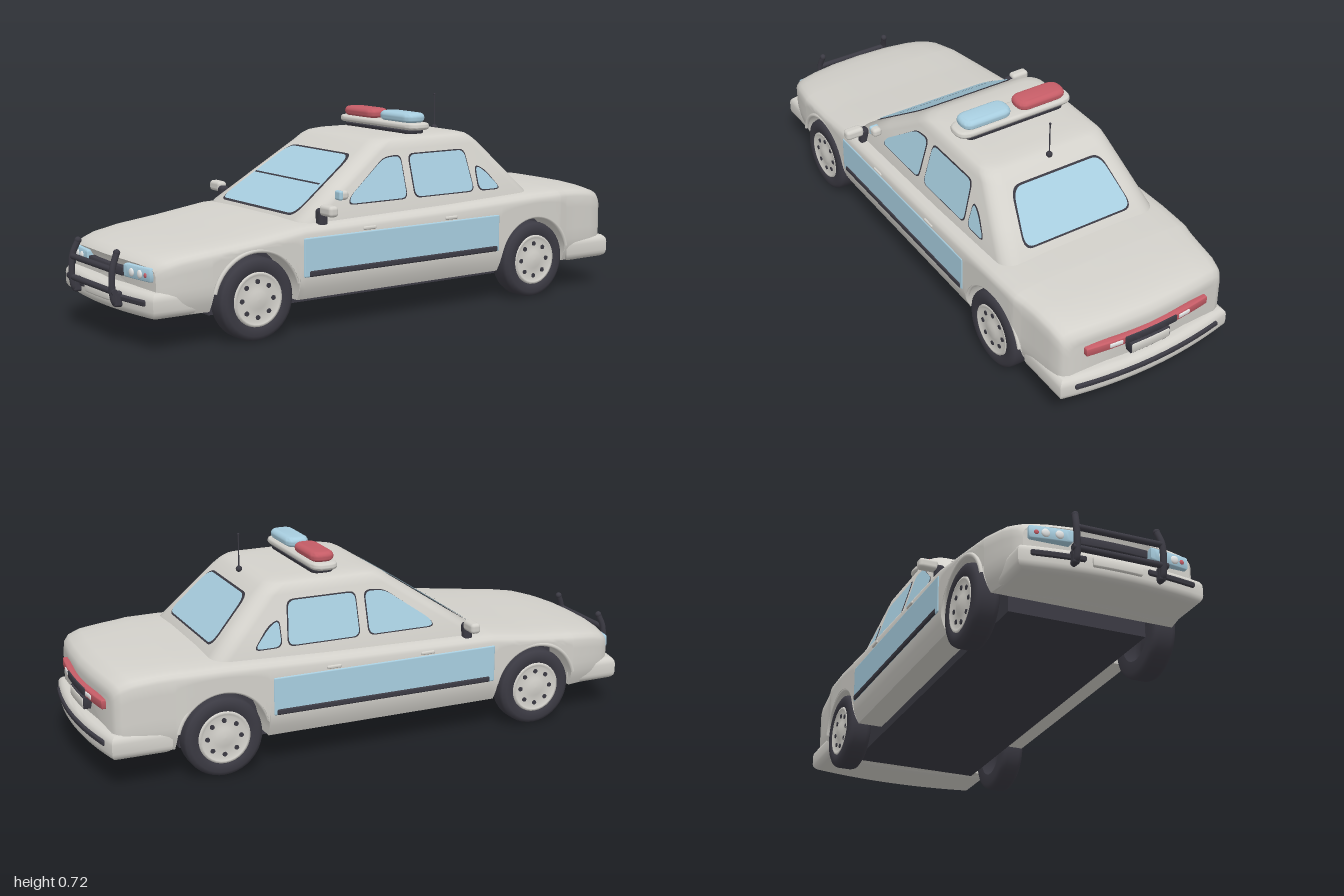
import * as THREE from 'three';
import { toCreasedNormals } from 'three/addons/utils/BufferGeometryUtils.js';
import { RoundedBoxGeometry } from 'three/addons/geometries/RoundedBoxGeometry.js';

const mat = (name, color) => Object.assign(new THREE.MeshStandardMaterial({ color }), { name });
const paint = mat('paint', 0xd3d1cb);
const dark = mat('darkTrim', 0x3b3a43);
const blue = mat('lightBlue', 0xa8cee0);
const red = mat('red', 0xc65d67);
const white = mat('lampWhite', 0xe4e6e6);
blue.side = dark.side = THREE.DoubleSide;

const V = (x, y, z) => new THREE.Vector3(x, y, z);
const lerp = THREE.MathUtils.lerp;
const BEND = 0.35; // plan curvature of nose and tail

// Closed loft through rings that run counter-clockwise about the loft axis
function loft(rings, crease = 0.7) {
  const n = rings[0].length, idx = [], pos = [];
  rings.forEach(r => r.forEach(p => pos.push(p.x, p.y, p.z)));
  for (let i = 0; i < rings.length - 1; i++) for (let j = 0; j < n; j++) {
    const a = i * n + j, b = i * n + (j + 1) % n;
    idx.push(a, b, b + n, a, b + n, a + n);
  }
  const ends = [rings[0], rings[rings.length - 1]].map(r => {
    const c = r.reduce((s, p) => s.add(p), V(0, 0, 0)).divideScalar(n);
    pos.push(c.x, c.y, c.z);
    return pos.length / 3 - 1;
  });
  const last = (rings.length - 1) * n;
  for (let j = 0; j < n; j++) {
    const k = (j + 1) % n;
    idx.push(ends[0], k, j, ends[1], last + j, last + k);
  }
  const g = new THREE.BufferGeometry();
  g.setAttribute('position', new THREE.Float32BufferAttribute(pos, 3));
  g.setIndex(idx);
  return toCreasedNormals(g, crease);
}

// Polygon with rounded corners
function roundPoly(pts, r) {
  const s = new THREE.Shape(), P = pts.map(p => new THREE.Vector2(...p));
  P.forEach((p, i) => {
    const toward = q => p.clone().add(q.clone().sub(p).setLength(Math.min(r, q.distanceTo(p) * 0.48)));
    const a = toward(P[(i + P.length - 1) % P.length]), b = toward(P[(i + 1) % P.length]);
    i ? s.lineTo(a.x, a.y) : s.moveTo(a.x, a.y);
    s.quadraticCurveTo(p.x, p.y, b.x, b.y);
  });
  s.closePath();
  return s;
}
const rect = (w, h) => [[-w, -h], [w, -h], [w, h], [-w, h]];

// Thin shape laid on a sloping surface
function decal(pts, r, map) {
  const g = new THREE.ShapeGeometry(roundPoly(pts, r), 6), p = g.attributes.position;
  for (let i = 0; i < p.count; i++) p.setXYZ(i, ...map(p.getX(i), p.getY(i)));
  g.computeVertexNormals();
  return g;
}

// Strip that follows the curved nose, z being its outer face at x = 0
function wrap(x0, x1, y0, y1, z, depth, bevel) {
  const front = [], back = [];
  for (let i = 0; i <= 12; i++) {
    const x = lerp(x0, x1, i / 12);
    front.unshift(new THREE.Vector2(x, z - BEND * x * x));
    back.push(new THREE.Vector2(x, z - depth - BEND * x * x));
  }
  const g = new THREE.ExtrudeGeometry(new THREE.Shape([...back, ...front]), {
    depth: y1 - y0 - 2 * bevel, bevelThickness: bevel, bevelSize: bevel, bevelOffset: -bevel, bevelSegments: 4 });
  return toCreasedNormals(g.rotateX(Math.PI / 2).translate(0, y1 - bevel, 0), 0.6);
}

// Flat slab with rounded plan and softened edges
function slab(w, d, r, h, bevel) {
  const g = new THREE.ExtrudeGeometry(roundPoly(rect(w / 2, d / 2), r), {
    depth: h - 2 * bevel, bevelThickness: bevel, bevelSize: bevel, bevelOffset: -bevel, bevelSegments: 4, curveSegments: 8 });
  return toCreasedNormals(g.rotateX(-Math.PI / 2).translate(0, bevel, 0), 0.8);
}

// Lower body: z, half width, top height, bottom height
const KEYS = [[-0.965, 0.285, 0.315, 0.14], [-0.96, 0.305, 0.338, 0.12], [-0.945, 0.315, 0.356, 0.11],
  [-0.9, 0.322, 0.37, 0.11], [-0.8, 0.328, 0.378, 0.11], [-0.74, 0.335, 0.381, 0.11], [-0.7, 0.344, 0.383, 0.11],
  [-0.58, 0.347, 0.383, 0.11], [-0.2, 0.347, 0.37, 0.11], [0.4, 0.347, 0.358, 0.11], [0.58, 0.343, 0.333, 0.11],
  [0.74, 0.332, 0.316, 0.11], [0.85, 0.314, 0.302, 0.11], [0.9, 0.302, 0.29, 0.11], [0.925, 0.293, 0.281, 0.12],
  [0.937, 0.28, 0.268, 0.14]];
const ARCH = 0.157, AXLE = 0.58, HUB_Y = 0.135;
function bodyRing(z) {
  let i = 0;
  while (i < KEYS.length - 2 && KEYS[i + 1][0] < z) i++;
  const t = (z - KEYS[i][0]) / (KEYS[i + 1][0] - KEYS[i][0]);
  let [w, top, low] = [1, 2, 3].map(k => lerp(KEYS[i][k], KEYS[i + 1][k], t));
  const d = Math.abs(Math.abs(z) - AXLE), ys = top - 0.034;
  if (d <= ARCH) low = Math.min(HUB_Y + Math.sqrt(ARCH * ARCH - d * d), ys - 0.004);
  const half = [[0, low]];
  for (let k = 0; k <= 6; k++) {
    const y = lerp(low, ys, k / 6), tuck = Math.max(0, 0.19 - y) / 0.08;
    half.push([w * (1 - 0.07 * tuck * tuck), y]);
  }
  half.push([w * 0.985, top - 0.023], [w * 0.95, top - 0.014], [w * 0.88, top - 0.008], [w * 0.7, top - 0.003], [w * 0.4, top], [0, top]);
  const end = Math.sign(z) * THREE.MathUtils.clamp((Math.abs(z) - 0.78) / 0.14, 0, 1);
  const full = [...half, ...half.slice(1, -1).reverse().map(([x, y]) => [-x, y])];
  return full.map(([x, y]) => V(x, y, z - end * BEND * x * x));
}
function bodyGeometry() {
  const zs = KEYS.map(k => k[0]);
  for (const c of [-AXLE, AXLE]) {
    zs.push(c - ARCH - 0.002, c + ARCH + 0.002);
    for (let k = 0; k <= 20; k++) zs.push(c + ARCH * Math.cos(k * Math.PI / 20) * 0.9999);
  }
  const sorted = zs.sort((a, b) => a - b).filter((z, i, s) => !i || z - s[i - 1] > 1e-4);
  return loft(sorted.map(bodyRing));
}

// Cabin slopes
const cabW = y => 0.305 - 0.3 * (y - 0.36);
const cabF = y => 0.385 - 1.5 * (y - 0.36);
const cabB = y => -0.615 + 0.975 * (y - 0.36);
function cabinGeometry() {
  const levels = [[0.3, 0.31, 0.4, -0.63], ...[0.36, 0.46, 0.56].map(y => [y, cabW(y), cabF(y), cabB(y)]),
    [0.58, 0.239, 0.058, -0.395], [0.592, 0.228, 0.035, -0.378], [0.598, 0.208, 0.01, -0.355], [0.601, 0.16, -0.04, -0.31]];
  return loft(levels.map(([y, w, f, b]) => {
    const ring = [], r = 0.06, mid = (f + b) / 2, h = (f - b) / 2;
    [[1, 1], [-1, 1], [-1, -1], [1, -1]].forEach(([sx, sz], q) => {
      for (let k = 0; k <= 6; k++) {
        const a = (q + k / 6) * Math.PI / 2;
        ring.push(V(sx * (w - r) + r * Math.cos(a), y, mid - sz * (h - r) - r * Math.sin(a)));
      }
    });
    return ring;
  }), 0.8);
}

export function createModel() {
  const root = new THREE.Group();
  root.name = 'patrolCar';
  const add = (name, geo, m, x = 0, y = 0, z = 0, parent = root) => {
    const mesh = new THREE.Mesh(geo, m);
    mesh.name = name;
    mesh.position.set(x, y, z);
    parent.add(mesh);
    return mesh;
  };
  const box = (w, h, d, r) => new RoundedBoxGeometry(w, h, d, 3, r);
  const disc = (r, h, n = 20) => new THREE.CylinderGeometry(r, r, h, n);

  add('body', bodyGeometry(), paint);
  add('cabin', cabinGeometry(), paint);
  add('underside', new THREE.BoxGeometry(0.47, 0.2, 1.4), dark, 0, 0.18, 0);

  // Windscreen and rear window with dark surrounds
  const pane = (name, y0, y1, w0, w1, zAt, s) => [[0.005, dark, 0.002], [0, blue, 0.005]].forEach(([e, m, lift]) =>
    add(name + (e ? 'Surround' : ''), decal([[-w0 - e, y0 - e], [w0 + e, y0 - e], [w1 + e, y1 + e], [-w1 - e, y1 + e]], 0.035,
      (x, y) => [x, y + lift * 0.6, zAt(y) + s * lift]), m));
  pane('windscreen', 0.372, 0.542, 0.232, 0.185, cabF, 1);
  pane('rearWindow', 0.408, 0.548, 0.21, 0.17, cabB, -1);
  add('windscreenLine', decal(rect(0.2, 0.002).map(([x, y]) => [x, y + 0.455]), 0.001,
    (x, y) => [x, y + 0.005, cabF(y) + 0.008]), dark);

  // Side windows, door panels, handles and mirrors
  const windows = [[[0.195, 0.4], [0.185, 0.425], [0.03, 0.535], [-0.043, 0.54], [-0.043, 0.4]],
    [[-0.08, 0.4], [-0.08, 0.54], [-0.32, 0.54], [-0.335, 0.4]],
    [[-0.36, 0.4], [-0.36, 0.485], [-0.395, 0.465], [-0.455, 0.4]]];
  for (const s of [1, -1]) {
    windows.forEach(pts => {
      const cz = pts.reduce((t, p) => t + p[0], 0) / pts.length;
      const grown = pts.map(([z, y]) => [z + Math.sign(z - cz) * 0.004, y + Math.sign(y - 0.45) * 0.004]);
      add('sideWindowSurround', decal(grown, 0.025, (z, y) => [s * (cabW(y) + 0.002), y, z]), dark);
      add('sideWindow', decal(pts, 0.025, (z, y) => [s * (cabW(y) + 0.004), y, z]), blue);
    });
    add('doorPanel', box(0.012, 0.13, 0.82, 0.0055).translate(0, 0.25, 0), blue, s * 0.344);
    add('doorRubbingStrip', box(0.014, 0.02, 0.79, 0.006), dark, s * 0.347, 0.196, -0.005);
    for (const z of [0.15, -0.195]) add('doorHandle', box(0.016, 0.012, 0.052, 0.005), paint, s * 0.344, 0.324, z);
    add('mirrorStem', box(0.034, 0.075, 0.034, 0.012), dark, s * 0.31, 0.362, 0.317);
    add('mirror', box(0.068, 0.036, 0.036, 0.012), paint, s * 0.35, 0.395, 0.315);
  }

  // Left spotlight
  add('spotlightStem', disc(0.004, 0.04, 8).rotateZ(Math.PI / 2), dark, 0.285, 0.425, 0.23);
  add('spotlight', box(0.034, 0.032, 0.034, 0.012), paint, 0.305, 0.434, 0.23);
  add('spotlightLens', box(0.034, 0.032, 0.016, 0.007), blue, 0.305, 0.434, 0.244);

  // Wheels
  const tyre = new THREE.LatheGeometry([[0.08, -0.04], [0.118, -0.042], [0.131, -0.034], [0.135, -0.022], [0.135, 0.022],
    [0.131, 0.034], [0.118, 0.042], [0.092, 0.042], [0.086, 0.03], [0, 0.03]].map(p => new THREE.Vector2(...p)), 40);
  const cap = new THREE.LatheGeometry([[0.09, 0.028], [0.088, 0.04], [0.08, 0.042], [0.072, 0.034], [0.035, 0.036],
    [0.028, 0.042], [0, 0.043]].map(p => new THREE.Vector2(...p)), 32);
  for (const s of [1, -1]) for (const z of [AXLE, -AXLE]) {
    const wheel = new THREE.Group();
    wheel.name = 'wheel';
    wheel.position.set(s * 0.303, HUB_Y, z);
    wheel.rotation.z = -s * Math.PI / 2;
    root.add(wheel);
    add('tyre', tyre, dark, 0, 0, 0, wheel);
    add('hubcap', cap, paint, 0, 0, 0, wheel);
    for (let k = 0; k < 8; k++) {
      const a = k * Math.PI / 4;
      add('hubHole', disc(0.008, 0.006, 10), dark, 0.058 * Math.cos(a), 0.035, 0.058 * Math.sin(a), wheel);
    }
    // Raised lip over the wheel
    const lip = new THREE.TorusGeometry(ARCH + 0.003, 0.007, 8, 28, Math.PI * 0.84).rotateZ(Math.PI * 0.08).rotateY(Math.PI / 2);
    add('archLip', lip, paint, s * 0.338, HUB_Y - 0.004, z);
  }

  // Front end
  add('frontBumper', wrap(-0.308, 0.308, 0.105, 0.188, 0.968, 0.2, 0.026), paint);
  add('grille', wrap(-0.118, 0.118, 0.216, 0.246, 0.945, 0.03, 0.005), dark);
  add('frontPlate', wrap(-0.082, 0.082, 0.135, 0.168, 0.975, 0.03, 0.006), paint);
  for (const s of [1, -1]) {
    const span = (a, b) => (s > 0 ? [a, b] : [-b, -a]);
    add('headlight', wrap(...span(0.13, 0.266), 0.216, 0.261, 0.947, 0.05, 0.008), blue);
    add('bumperStrip', wrap(...span(0.103, 0.272), 0.146, 0.166, 0.975, 0.03, 0.007), dark);
    [[0.173, 0.014, white], [0.216, 0.014, white], [0.244, 0.008, red]].forEach(([x, r, m]) =>
      add('lamp', new THREE.SphereGeometry(r, 16, 10).scale(1, 1, 0.45), m, s * x, 0.237, 0.947 - BEND * x * x));
    // Push bar upright
    const path = new THREE.CatmullRomCurve3([V(0, 0.138, 0.94), V(0, 0.138, 0.978), V(0, 0.16, 0.987), V(0, 0.245, 0.987), V(s * -0.006, 0.296, 0.968)]);
    add('pushBarUpright', new THREE.TubeGeometry(path, 24, 0.0105, 10), dark, s * 0.143);
    add('pushBarFoot', box(0.022, 0.05, 0.03, 0.008), dark, s * 0.143, 0.152, 0.972);
    add('pushBarTip', new THREE.SphereGeometry(0.0115, 12, 8), dark, s * 0.137, 0.296, 0.968);
  }
  add('pushBarUpper', disc(0.01, 0.286, 12).rotateZ(Math.PI / 2), dark, 0, 0.245, 0.987);
  add('pushBarLower', disc(0.01, 0.316, 12).rotateZ(Math.PI / 2), dark, 0, 0.176, 0.987);

  // Rear end, built facing forward and turned round
  const rear = new THREE.Group();
  rear.name = 'rearEnd';
  rear.rotation.y = Math.PI;
  root.add(rear);
  const addRear = (name, m, ...a) => add(name, wrap(...a), m, 0, 0, 0, rear);
  addRear('rearBumper', paint, -0.328, 0.328, 0.105, 0.188, 0.988, 0.2, 0.026);
  addRear('rearBumperStrip', dark, -0.28, 0.28, 0.146, 0.166, 0.995, 0.03, 0.007);
  addRear('tailLightBand', red, -0.235, 0.235, 0.252, 0.284, 0.972, 0.03, 0.005);
  addRear('tailLightCentre', dark, -0.1, 0.1, 0.254, 0.282, 0.975, 0.03, 0.004);
  addRear('rearPlateFrame', dark, -0.076, 0.076, 0.201, 0.243, 0.971, 0.03, 0.003);
  addRear('rearPlate', paint, -0.072, 0.072, 0.205, 0.239, 0.974, 0.03, 0.003);
  for (const x of [-0.155, 0.11]) addRear('reverseLamp', white, x, x + 0.045, 0.26, 0.276, 0.975, 0.03, 0.003);

  // Roof light bar and aerial
  const Z = -0.163;
  add('lightBarFoot', slab(0.385, 0.08, 0.03, 0.016, 0.006), dark, 0, 0.599, Z);
  add('lightBarBase', slab(0.45, 0.095, 0.045, 0.024, 0.011), paint, 0, 0.614, Z);
  add('redBeacon', slab(0.188, 0.085, 0.04, 0.034, 0.0165), red, -0.108, 0.637, Z);
  add('blueBeacon', slab(0.188, 0.085, 0.04, 0.034, 0.0165), blue, 0.108, 0.637, Z);
  add('aerial', disc(0.0022, 0.13, 8), dark, 0, 0.65, -0.392);
  add('aerialTip', new THREE.SphereGeometry(0.004, 10, 8), dark, 0, 0.712, -0.392);
  add('aerialBase', new THREE.SphereGeometry(0.011, 14, 10), dark, 0, 0.592, -0.392);
  return root;
}
